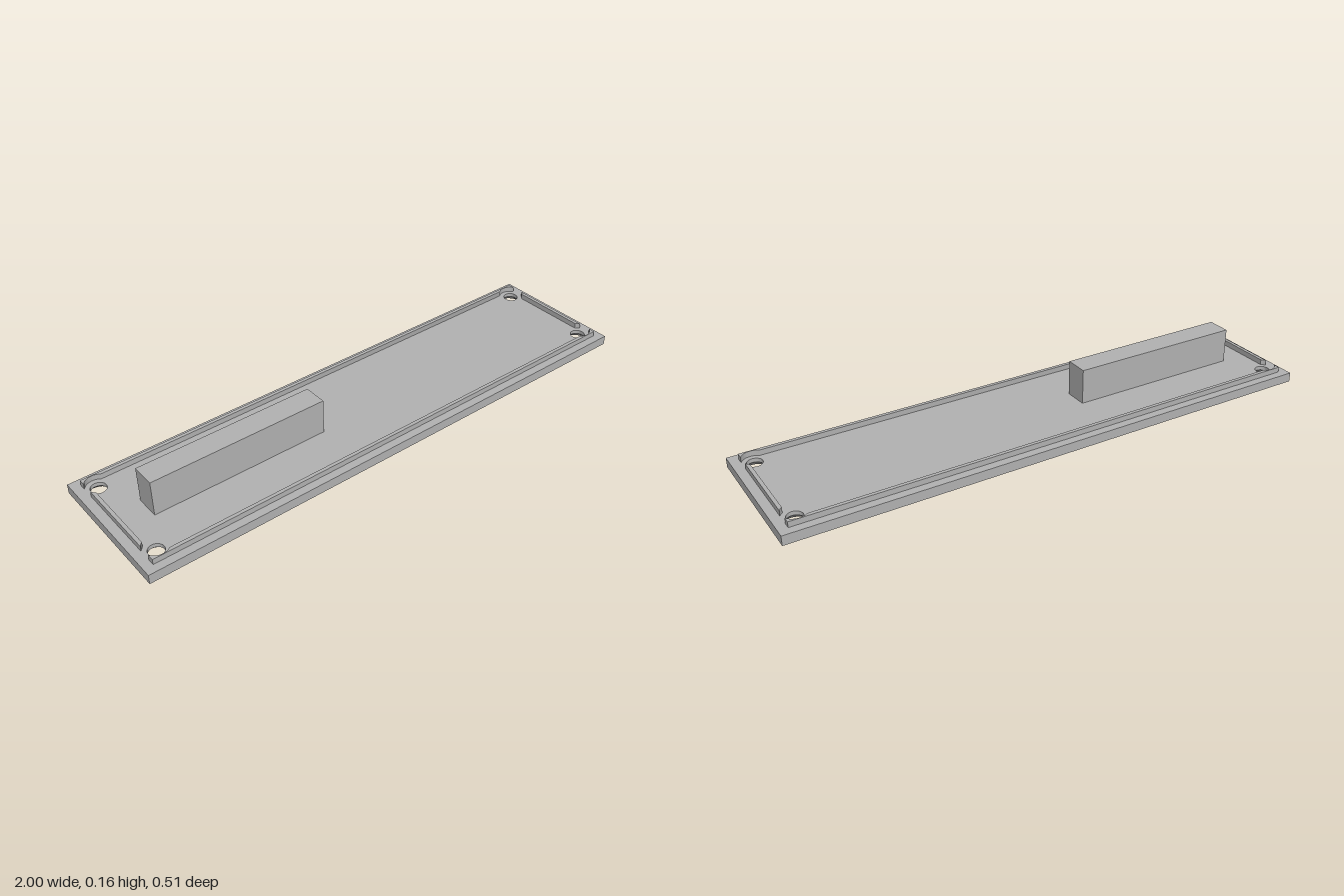
import * as THREE from 'three';
import { toCreasedNormals, mergeGeometries } from 'three/addons/utils/BufferGeometryUtils.js';

const HX = 1, HZ = 0.256, TH = 0.035;            // plate half sizes and thickness
const CX = 0.929, CZ = 0.179;                    // screw hole centres
const R = 0.027, R_SINK = 0.048, R_CLEAR = 0.044; // hole, countersink, rim clearance
const RIM_TOP = 0.055;
const corners = [[1, 1], [1, -1], [-1, 1], [-1, -1]];

// Plate outline with a round hole in each corner
function faceShape(radius) {
  const s = new THREE.Shape([
    new THREE.Vector2(-HX, -HZ), new THREE.Vector2(HX, -HZ),
    new THREE.Vector2(HX, HZ), new THREE.Vector2(-HX, HZ)]);
  for (const [sx, sz] of corners) {
    s.holes.push(new THREE.Path().absarc(sx * CX, sz * CZ, radius, 0, Math.PI * 2, true));
  }
  return new THREE.ShapeGeometry(s, 20);
}

function plateGeometry() {
  const parts = [
    faceShape(R).rotateX(-Math.PI / 2).translate(0, TH, 0),
    faceShape(R_SINK).rotateX(Math.PI / 2),
  ];
  // Four edges
  for (let i = 0; i < 4; i++) {
    const [w, d] = i % 2 ? [HZ, HX] : [HX, HZ];
    parts.push(new THREE.PlaneGeometry(2 * w, TH).translate(0, TH / 2, d).rotateY(i * Math.PI / 2));
  }
  return mergeGeometries(parts);
}

// Extrudes a flat outline upward from the plate's top
function raised(shape) {
  const g = new THREE.ExtrudeGeometry(shape, { depth: RIM_TOP - TH, bevelEnabled: false, curveSegments: 12 });
  return toCreasedNormals(g.rotateX(-Math.PI / 2).translate(0, TH, 0), 0.6);
}

export function createModel() {
  const group = new THREE.Group();
  const grey = new THREE.MeshStandardMaterial({ color: 0xb2b2b2 });
  grey.name = 'grey';
  const add = (name, geometry) => {
    const m = new THREE.Mesh(geometry, grey);
    m.name = name;
    group.add(m);
    return m;
  };

  add('plate', plateGeometry());

  // Countersunk screw hole walls
  const profile = [[R, TH], [R, 0.021], [R_SINK, 0]].map(p => new THREE.Vector2(...p));
  const holeWall = toCreasedNormals(new THREE.LatheGeometry(profile, 40), 0.5);
  for (const [sx, sz] of corners) add('screwHole', holeWall).position.set(sx * CX, 0, sz * CZ);

  // Raised rim, cut away around the holes
  const OX = 0.967, IX = 0.954, OZ = 0.226, IZ = 0.213;
  const aOut = Math.acos((OX - CX) / R_CLEAR);
  const aLong = Math.PI - Math.asin((IZ - CZ) / R_CLEAR);
  const aEnd = Math.acos((IX - CX) / R_CLEAR);

  const long = new THREE.Shape();
  long.moveTo(-OX, OZ);
  long.lineTo(OX, OZ);
  long.absarc(CX, CZ, R_CLEAR, aOut, aLong, false);
  long.absarc(-CX, CZ, R_CLEAR, Math.PI - aLong, Math.PI - aOut, false);
  const longRim = raised(long);

  const end = new THREE.Shape();
  end.absarc(CX, -CZ, R_CLEAR, aOut, aEnd, false);
  end.absarc(CX, CZ, R_CLEAR, -aEnd, -aOut, false);
  const endRim = raised(end);

  for (const turn of [0, Math.PI]) {
    add('longRim', longRim).rotation.y = turn;
    add('endRim', endRim).rotation.y = turn;
  }

  // Upright block on the right half
  add('block', new THREE.BoxGeometry(0.657, 0.165 - TH, 0.088)).position.set(-0.527, (0.165 + TH) / 2, 0);

  return group;
}
